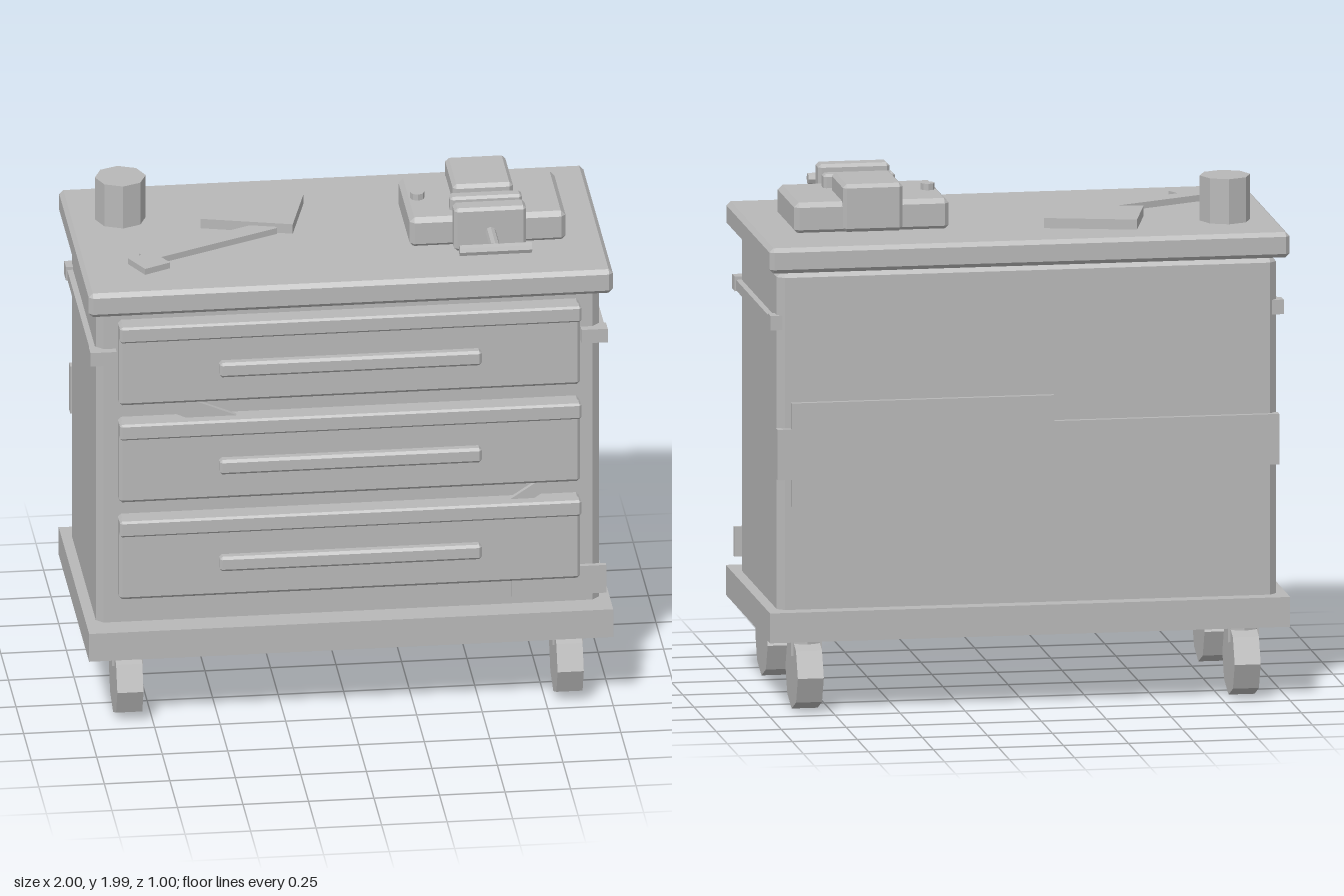
import * as THREE from 'three';
import { ConvexGeometry } from 'three/addons/geometries/ConvexGeometry.js';

export function createModel() {
  const model = new THREE.Group();
  model.name = 'toolCabinet';
  const grey = new THREE.MeshStandardMaterial({ color: 0xb8b8b8 });
  grey.name = 'plain grey';

  const add = (name, geometry, x = 0, y = 0, z = 0, parent = model) => {
    const mesh = new THREE.Mesh(geometry, grey);
    mesh.name = name;
    mesh.position.set(x, y, z);
    parent.add(mesh);
    return mesh;
  };

  // Box given by its limits
  const box = (name, x0, x1, y0, y1, z0, z1, parent) =>
    add(name, new THREE.BoxGeometry(x1 - x0, y1 - y0, z1 - z0),
      (x0 + x1) / 2, (y0 + y1) / 2, (z0 + z1) / 2, parent);

  // Box given by its limits, with every edge chamfered by c
  const chamferBox = (name, x0, x1, y0, y1, z0, z1, c, parent) => {
    const half = [(x1 - x0) / 2, (y1 - y0) / 2, (z1 - z0) / 2];
    const points = [];
    for (const sx of [-1, 1]) for (const sy of [-1, 1]) for (const sz of [-1, 1])
      for (let full = 0; full < 3; full++) {
        const p = half.map((h, i) => (i === full ? h : h - c));
        points.push(new THREE.Vector3(sx * p[0], sy * p[1], sz * p[2]));
      }
    return add(name, new ConvexGeometry(points),
      (x0 + x1) / 2, (y0 + y1) / 2, (z0 + z1) / 2, parent);
  };

  // Faceted cylinder with flat normals, standing along y
  const prism = (radius, height, sides = 8) => {
    const g = new THREE.CylinderGeometry(radius, radius, height, sides).toNonIndexed();
    g.computeVertexNormals();
    return g;
  };

  // Cabinet
  box('basePlate', -1, 1, 0.285, 0.4, -0.5, 0.5);
  chamferBox('cabinetBody', -0.96, 0.96, 0.36, 1.708, -0.44, 0.4, 0.027);
  chamferBox('worktop', -1, 1, 1.708, 1.806, -0.5, 0.5, 0.016);

  // Drawers with lip and handle
  [1.32, 0.917, 0.515].forEach((y, i) => {
    const drawer = new THREE.Group();
    drawer.name = 'drawer' + (i + 1);
    model.add(drawer);
    chamferBox('drawerFront', -0.88, 0.88, y, y + 0.337, 0.395, 0.46, 0.012, drawer);
    chamferBox('drawerLip', -0.88, 0.88, y + 0.272, y + 0.337, 0.44, 0.49, 0.008, drawer);
    chamferBox('drawerHandle', -0.5, 0.5, y + 0.113, y + 0.173, 0.45, 0.495, 0.01, drawer);
  });

  // Patches of tape on the front, partly behind the drawers
  add('tapeUpper', new THREE.BoxGeometry(0.5, 0.075, 0.02), -0.6, 1.285, 0.433)
    .rotation.z = -0.4;
  add('tapeLower', new THREE.BoxGeometry(0.3, 0.05, 0.02), 0.71, 0.885, 0.433)
    .rotation.z = 0.58;
  box('cornerPatch', 0.62, 0.98, 0.445, 0.56, 0.423, 0.443);

  // Side rails
  for (const s of [-1, 1]) {
    const rail = new THREE.Group();
    rail.name = s > 0 ? 'leftRail' : 'rightRail';
    model.add(rail);
    for (const z of [-0.403, 0.403])
      add('railBracket', new THREE.BoxGeometry(0.1, 0.056, 0.058), s * 0.937, 1.507, z, rail);
    add('railBar', new THREE.BoxGeometry(0.03, 0.04, 0.76), s * 0.967, 1.503, 0, rail);
  }

  // Stepped patch across the back
  const patch = new THREE.Shape([
    [-0.965, 0.905], [-0.1, 0.905], [-0.1, 0.8], [0.91, 0.8], [0.91, 0.905], [0.965, 0.905],
    [0.965, 1.1], [0.91, 1.1], [0.91, 1.2], [-0.1, 1.2], [-0.1, 1.1], [-0.965, 1.1],
  ].map(([x, y]) => new THREE.Vector2(x, y)));
  add('backPatch', new THREE.ExtrudeGeometry(patch, { depth: 0.04, bevelEnabled: false }), 0, 0, -0.46);

  // Casters
  for (const x of [-0.84, 0.84]) for (const z of [-0.34, 0.34]) {
    const caster = new THREE.Group();
    caster.name = 'caster';
    caster.position.set(x, 0, z);
    model.add(caster);
    add('wheel', prism(0.14, 0.1), 0, 0.14, 0, caster).rotation.z = Math.PI / 2;
    add('swivelPlate', prism(0.07, 0.03), 0, 0.273, 0, caster);
    add('fork', new THREE.BoxGeometry(0.118, 0.076, 0.085), 0, 0.248, 0, caster);
  }

  // Loose items on the worktop
  add('cup', prism(0.097, 0.18), -0.8, 1.89, -0.2);
  add('notebook', new THREE.BoxGeometry(0.354, 0.04, 0.283), -0.302, 1.825, -0.163)
    .rotation.y = -0.26;
  add('wrenchHandle', new THREE.BoxGeometry(0.57, 0.025, 0.075), -0.5, 1.818, 0.1)
    .rotation.y = 0.436;
  add('wrenchHead', new THREE.BoxGeometry(0.112, 0.0245, 0.118), -0.743, 1.818, 0.257)
    .rotation.y = 0.46;

  // Bench vise
  const vise = new THREE.Group();
  vise.name = 'vise';
  model.add(vise);
  chamferBox('viseBase', 0.26, 0.855, 1.8, 1.922, -0.205, 0.197, 0.018, vise);
  chamferBox('viseBody', 0.44, 0.67, 1.806, 1.99, -0.218, 0.057, 0.014, vise);
  chamferBox('fixedJaw', 0.42, 0.695, 1.9, 1.975, 0.08, 0.135, 0.01, vise);
  chamferBox('slidingJaw', 0.42, 0.695, 1.815, 1.99, 0.2, 0.278, 0.012, vise);
  add('viseBolt', prism(0.027, 0.04), 0.31, 1.927, 0, vise);
  add('viseScrew', prism(0.02, 0.27), 0.558, 1.892, 0.305, vise).rotation.x = Math.PI / 2;
  add('viseHandle', prism(0.022, 0.275), 0.558, 1.892, 0.44, vise).rotation.z = Math.PI / 2;

  return model;
}
